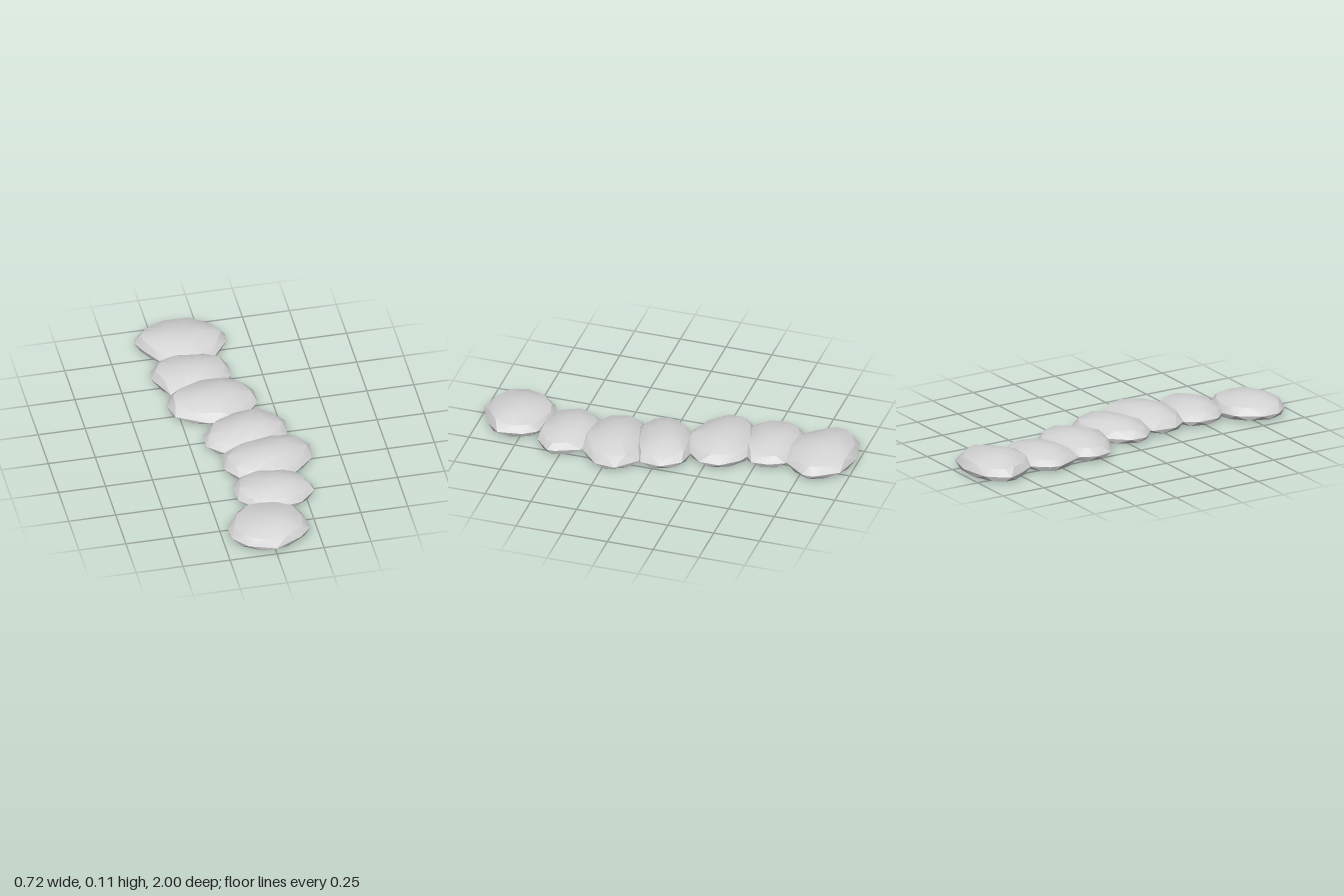
import * as THREE from 'three';
import { toCreasedNormals } from 'three/addons/utils/BufferGeometryUtils.js';

// Each stone: crown height and its rim outline as [x, z], clockwise from above
const STONES = [
  { top: 0.112, rim: [[-.27, -.97], [-.11, -1], [.04, -.96], [.12, -.84], [.12, -.78], [.02, -.65], [-.13, -.62], [-.26, -.68], [-.325, -.785], [-.36, -.86], [-.325, -.91]] },
  { top: 0.1, rim: [[.04, -.66], [.08, -.58], [.085, -.49], [0, -.42], [-.13, -.38], [-.265, -.39], [-.335, -.54], [-.325, -.6], [-.26, -.68], [-.1, -.7]] },
  { top: 0.111, rim: [[-.27, -.38], [-.2, -.42], [0, -.47], [.09, -.43], [.165, -.34], [.165, -.23], [.05, -.11], [-.12, -.11], [-.28, -.2], [-.305, -.3]] },
  { top: 0.107, rim: [[.1, -.165], [.2, -.145], [.27, -.05], [.26, .06], [.18, .11], [.05, .16], [-.1, .15], [-.175, .08], [-.175, -.01], [-.07, -.13]] },
  { top: 0.114, rim: [[-.11, .16], [.08, .1], [.25, .07], [.355, .17], [.345, .28], [.23, .39], [.08, .42], [-.06, .38], [-.125, .29]] },
  { top: 0.1, rim: [[-.06, .37], [.1, .35], [.24, .39], [.295, .52], [.295, .56], [.21, .64], [.12, .655], [-.02, .65], [-.11, .56], [-.115, .44]] },
  { top: 0.107, rim: [[-.13, .65], [-.05, .62], [.02, .62], [.14, .66], [.19, .73], [.21, .86], [.14, .93], [0, 1], [-.14, .95], [-.21, .87], [-.215, .77]] },
];

// Cross-sections from underside to crown: share of the rim radius, height, shift in half steps
const RIM_Y = 0.036;
const sections = (top) => {
  const rise = top - RIM_Y;
  return [
    [0, 0.001, -1], [0.55, 0.004, -1], [0.96, 0.01, -1],
    [1, RIM_Y, 0],
    [0.89, RIM_Y + rise * 0.5, 1], [0.48, RIM_Y + rise * 0.87, 1], [0, top, 1],
  ];
};

function stoneGeometry({ rim, top }) {
  const n = rim.length;
  const xs = rim.map((p) => p[0]), zs = rim.map((p) => p[1]);
  const cx = (Math.min(...xs) + Math.max(...xs)) / 2;
  const cz = (Math.min(...zs) + Math.max(...zs)) / 2;

  // Shifted rings sit on the middles of the rim edges, giving triangular chips
  const rings = sections(top).map(([s, y, shift]) => rim.map((p, i) => {
    const q = rim[(i + shift + n) % n];
    const chip = shift === 1 && s > 0.8 ? 0.004 * Math.sin(i * 2.4 + top * 900) : 0;
    return [cx + ((p[0] + q[0]) / 2 - cx) * s, y + chip, cz + ((p[1] + q[1]) / 2 - cz) * s];
  }));

  const pos = [];
  for (let r = 0; r < rings.length - 1; r++) {
    for (let i = 0; i < n; i++) {
      const j = (i + 1) % n;
      const a = rings[r][i], b = rings[r][j], c = rings[r + 1][j], d = rings[r + 1][i];
      if (r > 0) pos.push(...b, ...a, ...d);
      if (r < rings.length - 2) pos.push(...b, ...d, ...c);
    }
  }
  const geo = new THREE.BufferGeometry();
  geo.setAttribute('position', new THREE.Float32BufferAttribute(pos, 3));
  return toCreasedNormals(geo, 0.46);
}

export function createModel() {
  const group = new THREE.Group();
  group.name = 'steppingStonePath';
  const stone = new THREE.MeshStandardMaterial({ color: 0xd4d4d4 });
  stone.name = 'pale grey stone';

  // Seven flat stones laid in a winding row
  STONES.forEach((spec, i) => {
    const mesh = new THREE.Mesh(stoneGeometry(spec), stone);
    mesh.name = `steppingStone${i + 1}`;
    group.add(mesh);
  });
  return group;
}
